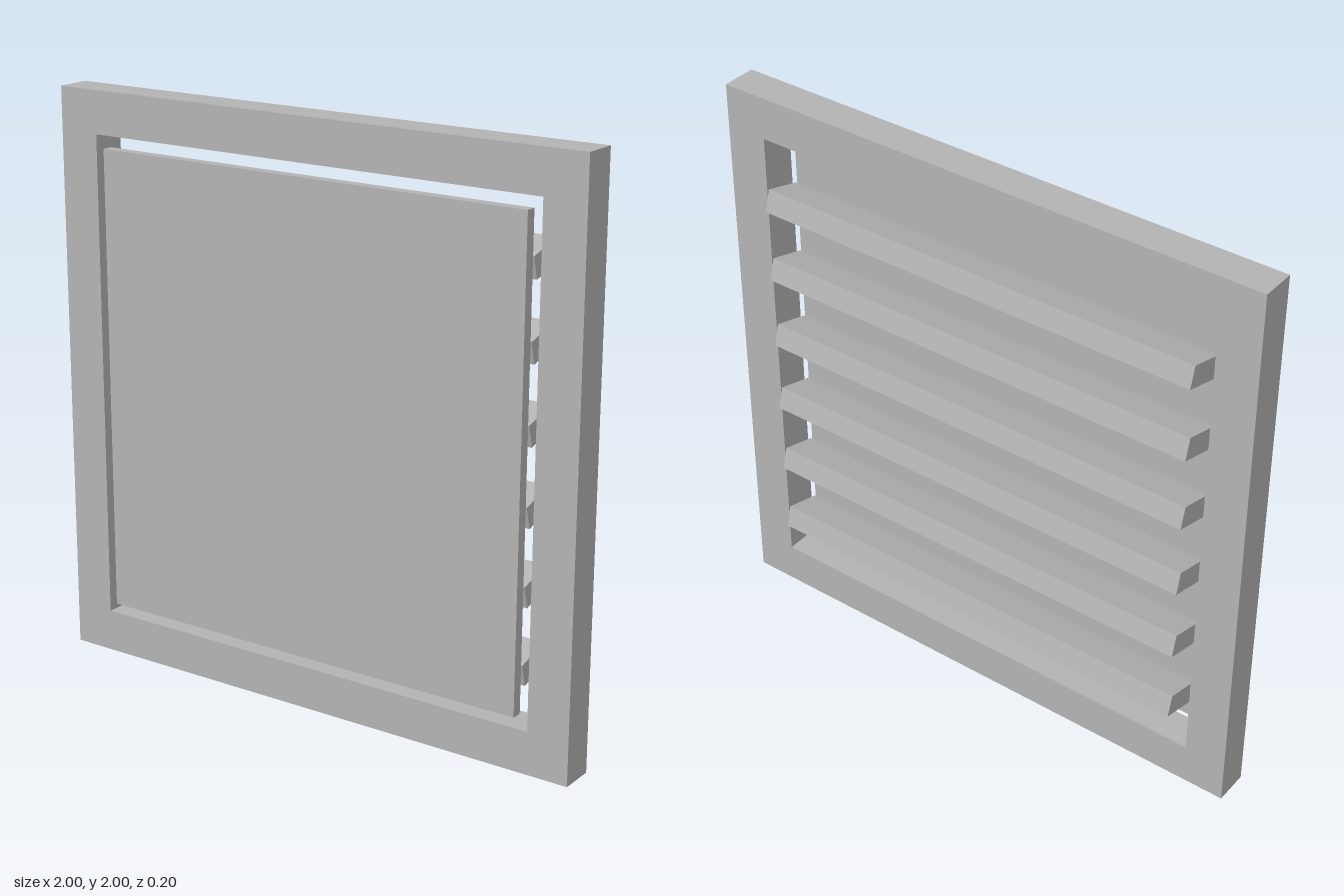
import * as THREE from 'three';

export function createModel() {
  const model = new THREE.Group();
  model.name = 'louvredVent';
  const grey = new THREE.MeshStandardMaterial({ color: 0xb3b3b3 });
  grey.name = 'plain grey';

  const add = (name, geometry, y, z) => {
    const mesh = new THREE.Mesh(geometry, grey);
    mesh.name = name;
    mesh.position.set(0, y, z);
    model.add(mesh);
    return mesh;
  };

  // Square outer frame with a square opening
  const square = (Type, h) => new Type([
    new THREE.Vector2(-h, -h), new THREE.Vector2(h, -h),
    new THREE.Vector2(h, h), new THREE.Vector2(-h, h),
  ]);
  const outline = square(THREE.Shape, 1);
  outline.holes.push(square(THREE.Path, 0.852));
  add('frame', new THREE.ExtrudeGeometry(outline, { depth: 0.123, bevelEnabled: false }), 1, -0.039);

  // Front cover panel, standing slightly proud of the frame
  add('coverPanel', new THREE.BoxGeometry(1.62, 1.62, 0.038), 1, 0.079);

  // Six tilted slats behind the panel
  const slatGeometry = new THREE.BoxGeometry(1.62, 0.078, 0.135);
  for (let i = 0; i < 6; i++) {
    const slat = add(`slat${i + 1}`, slatGeometry, 1.643 - i * 0.2625, -0.022);
    slat.rotation.x = THREE.MathUtils.degToRad(15.5);
  }
  return model;
}
